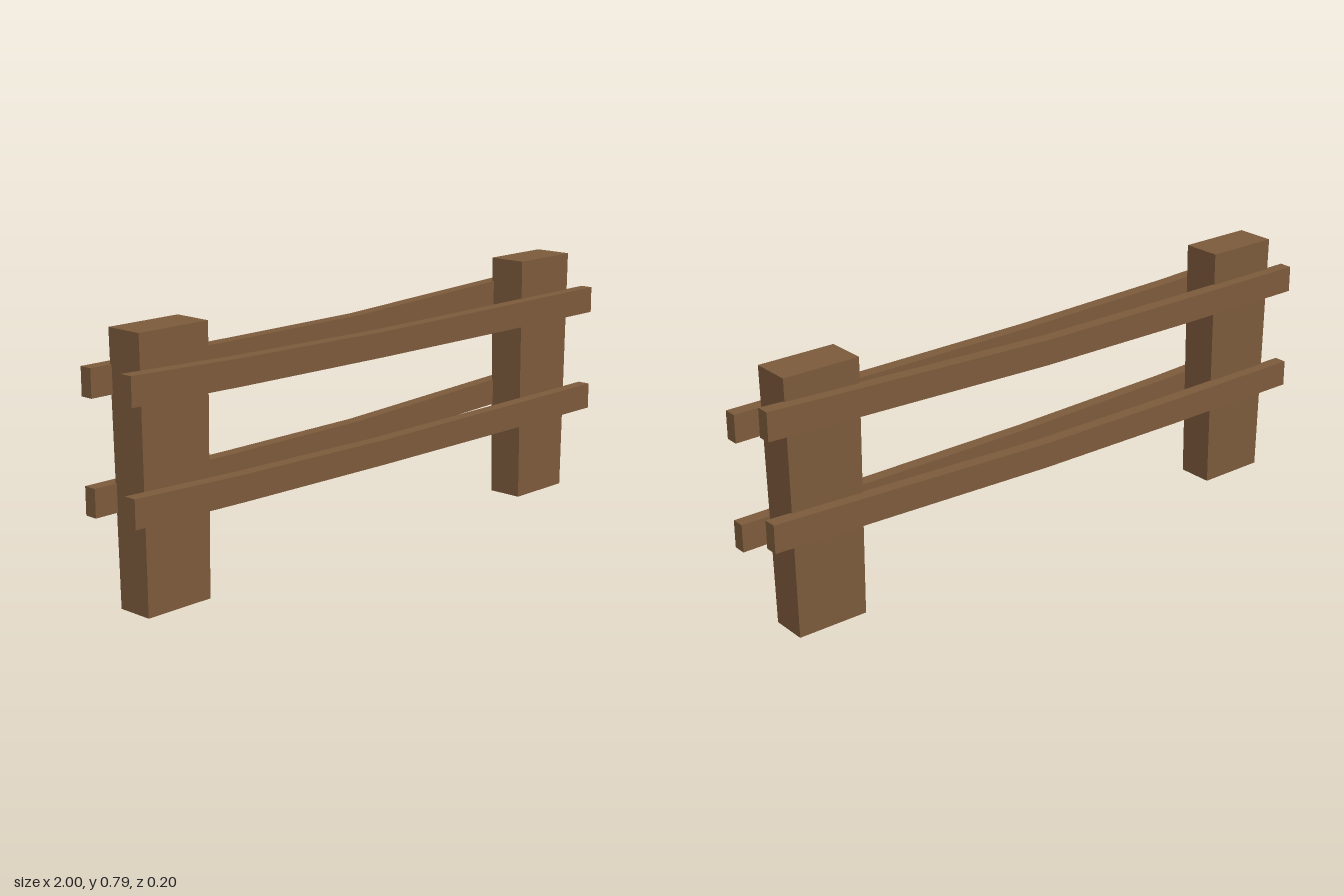
import * as THREE from 'three';

const wood = new THREE.MeshStandardMaterial({ color: 0x7d5b3c, flatShading: true, side: THREE.DoubleSide });
wood.name = 'brown wood';

// Rail cross-section stations: [x, bottom y, top y, centre z]
const FRONT = [
  [-0.997, 0.61, 0.695, 0.081], [-0.6, 0.601, 0.681, 0.079], [-0.03, 0.593, 0.67, 0.077],
  [0.5, 0.589, 0.67, 0.074], [1, 0.587, 0.671, 0.0725],
];
const BACK = [
  [-1, 0.609, 0.692, -0.081], [-0.5, 0.608, 0.69, -0.081], [0.03, 0.612, 0.691, -0.081],
  [0.62, 0.63, 0.713, -0.081], [0.99, 0.641, 0.727, -0.081],
];
const RAIL_DEPTH = 0.041;

// Sagging plank: a segmented box bent through the stations
function makeRail(name, stations, drop) {
  const n = stations.length - 1;
  const geo = new THREE.BoxGeometry(n, 1, 1, n, 1, 1);
  const p = geo.attributes.position;
  for (let i = 0; i < p.count; i++) {
    const [x, low, high, z] = stations[Math.round(p.getX(i) + n / 2)];
    p.setXYZ(i, x, (p.getY(i) > 0 ? high : low) - drop, z + p.getZ(i) * RAIL_DEPTH);
  }
  geo.computeVertexNormals();
  const mesh = new THREE.Mesh(geo, wood);
  mesh.name = name;
  return mesh;
}

// Post: slightly wider at the top, open underneath
function makePost(name, x) {
  const height = 0.792;
  const geo = new THREE.BoxGeometry(1, height, 1);
  const p = geo.attributes.position;
  for (let i = 0; i < p.count; i++) {
    const top = p.getY(i) > 0;
    p.setXYZ(i, x + p.getX(i) * (top ? 0.243 : 0.225), top ? height : 0,
      -0.0055 + p.getZ(i) * (top ? 0.124 : 0.115));
  }
  // Drop the bottom face (fourth of the six sides)
  geo.setIndex(Array.from(geo.index.array).filter((_, i) => i < 18 || i >= 24));
  geo.clearGroups();
  geo.computeVertexNormals();
  const mesh = new THREE.Mesh(geo, wood);
  mesh.name = name;
  return mesh;
}

export function createModel() {
  const fence = new THREE.Group();
  fence.name = 'fence';
  fence.add(makePost('rightPost', -0.808), makePost('leftPost', 0.792));
  for (const [level, drop] of [['upper', 0], ['lower', 0.331]]) {
    fence.add(makeRail(level + 'FrontRail', FRONT, drop), makeRail(level + 'BackRail', BACK, drop));
  }
  return fence;
}
